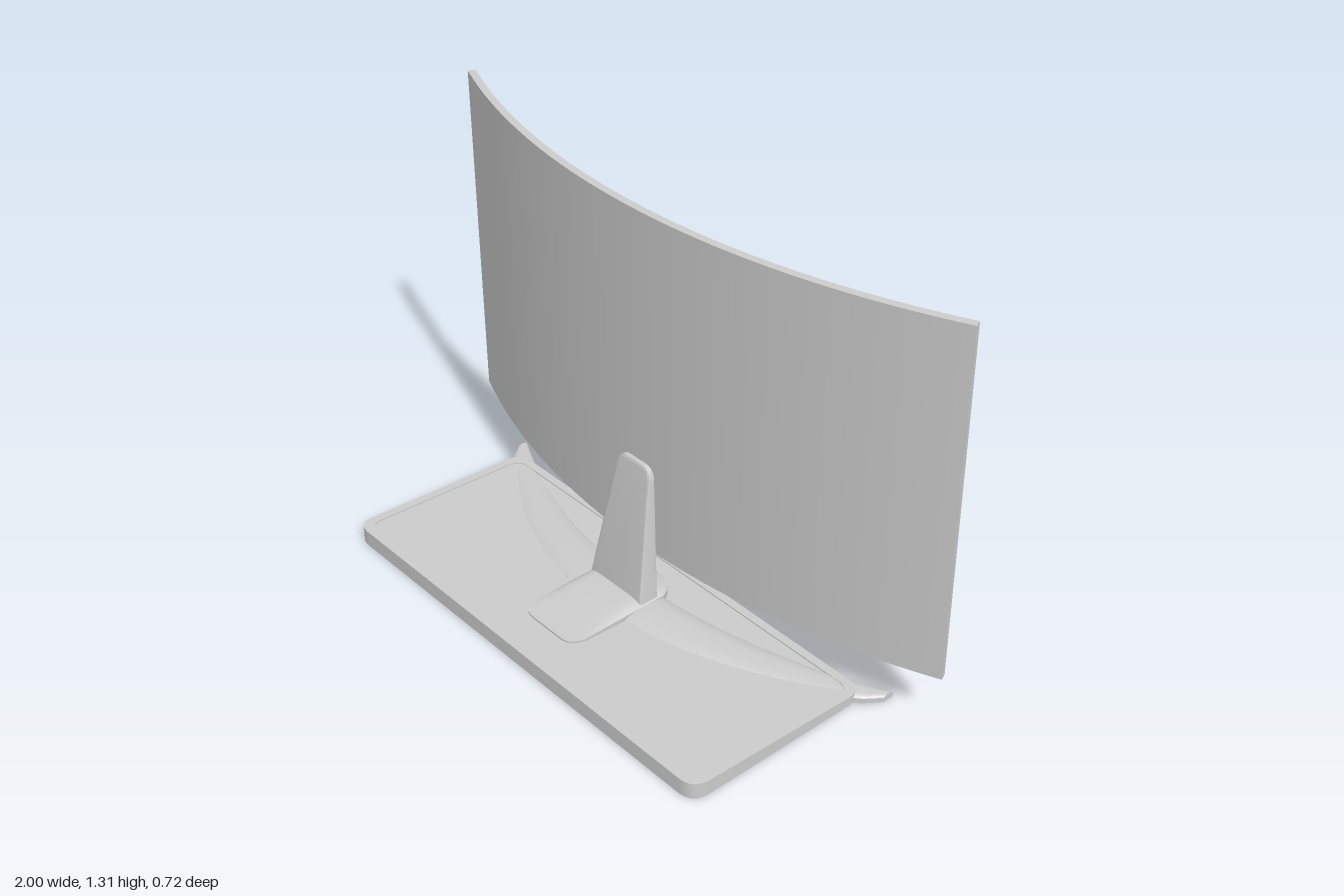
import * as THREE from 'three';
import { toCreasedNormals } from 'three/addons/utils/BufferGeometryUtils.js';

const grey = new THREE.MeshStandardMaterial({ color: 0xcccccc });
const dark = new THREE.MeshStandardMaterial({ color: 0x2e2e2e });

function addMesh(parent, name, geometry, material = grey) {
  const mesh = new THREE.Mesh(geometry, material);
  mesh.name = name;
  parent.add(mesh);
  return mesh;
}

// Moves every vertex by a rule that edits the vector in place
function reshape(geometry, rule) {
  const pos = geometry.attributes.position;
  const p = new THREE.Vector3();
  for (let i = 0; i < pos.count; i++) {
    rule(p.fromBufferAttribute(pos, i));
    pos.setXYZ(i, p.x, p.y, p.z);
  }
  geometry.computeVertexNormals();
  return geometry;
}

// Box bent around a vertical axis; the outer face at x = 0 lies at z = 0
function bentBox(radius, width, height, zBack, zFront) {
  const geometry = new THREE.BoxGeometry(width, height, zFront - zBack, 48, 1, 1);
  return reshape(geometry, (p) => {
    const r = radius + p.z + (zBack + zFront) / 2;
    const a = p.x / radius;
    p.x = r * Math.sin(a);
    p.z = r * Math.cos(a) - radius;
  });
}

// Low domed slab between a front and a back outline, with a height rule
function slab(half, front, back, height, y0) {
  const geometry = new THREE.BoxGeometry(2, 1, 2, 48, 1, 16);
  return reshape(geometry, (p) => {
    const x = p.x * half;
    const v = p.z;
    const z = THREE.MathUtils.lerp(back(x), front(x), (v + 1) / 2);
    p.set(x, p.y < 0 ? y0 : height(x, z, v), z);
  });
}

function roundedRect(path, w, d, r) {
  const x = w / 2, y = d / 2;
  path.moveTo(-x + r, -y);
  path.lineTo(x - r, -y).quadraticCurveTo(x, -y, x, -y + r);
  path.lineTo(x, y - r).quadraticCurveTo(x, y, x - r, y);
  path.lineTo(-x + r, y).quadraticCurveTo(-x, y, -x, y - r);
  path.lineTo(-x, -y + r).quadraticCurveTo(-x, -y, -x + r, -y);
  return path;
}

// Flat plate whose thickness falls off towards the back
function slopedPlate(shape, height, y0) {
  const geometry = new THREE.ExtrudeGeometry(shape, { depth: height, bevelEnabled: false, curveSegments: 8 });
  geometry.rotateX(-Math.PI / 2);
  reshape(geometry, (p) => {
    p.z += 0.035;
    p.y = p.y < height / 2 ? y0 : height - 0.036 * (0.36 - p.z);
  });
  return toCreasedNormals(geometry, 0.6);
}

export function createModel() {
  const model = new THREE.Group();
  model.name = 'curvedMonitor';

  // Curved panel, leaning slightly; the screen is on its hollow side
  const panel = new THREE.Group();
  panel.name = 'panel';
  panel.position.set(0, 0.741, -0.113);
  panel.rotation.x = 0.031;
  model.add(panel);
  const R = 2.486, width = 2 * R * Math.asin(1 / R), height = 1.123, t = 0.024;
  addMesh(panel, 'panelShell', bentBox(R, width, height, -t, 0));
  addMesh(panel, 'screen', bentBox(R, width - 0.028, height - 0.028, -t - 0.0015, -t + 0.002), dark);

  // Base plate: raised rim around a slightly sunken tray
  const base = new THREE.Group();
  base.name = 'base';
  model.add(base);
  const rim = roundedRect(new THREE.Shape(), 1.546, 0.65, 0.06);
  rim.holes.push(roundedRect(new THREE.Path(), 1.49, 0.594, 0.045));
  addMesh(base, 'baseRim', slopedPlate(rim, 0.053, 0.001));
  const tray = roundedRect(new THREE.Shape(), 1.5, 0.604, 0.048);
  addMesh(base, 'baseTray', slopedPlate(tray, 0.049, 0.003));

  // Swept foot whose tips reach past the rear corners of the plate
  addMesh(base, 'sweptFoot', slab(
    0.825,
    (x) => 0.03 - 0.48 * Math.abs(x) ** 2.1 - 0.03 * Math.abs(x / 0.825) ** 30,
    (x) => -0.13 - 0.335 * x * x,
    (x, z, v) => (0.056 - 0.034 * Math.abs(x / 0.825) ** 1.5) * (1 - 0.3 * Math.abs(v) ** 3),
    0,
  ));

  // Central hub with a tongue that runs forward over the plate
  addMesh(base, 'hub', slab(
    0.117,
    (x) => 0.228 - 0.05 * Math.abs(x / 0.117) ** 8,
    (x) => -0.188 + 0.06 * Math.abs(x / 0.117) ** 4,
    (x, z, v) => {
      const rise = THREE.MathUtils.smoothstep(-z, -0.23, 0.05);
      const edge = Math.max(Math.abs(x / 0.117) ** 8, v < 0 ? v ** 8 : 0);
      return 0.05 + 0.02 * rise - 0.016 * edge * rise;
    },
    0.001,
  ));

  // Tapered neck with rounded top, leaning back to the panel
  const outline = new THREE.Shape();
  outline.moveTo(-0.105, 0.05);
  outline.lineTo(0.105, 0.05);
  outline.lineTo(0.063, 0.44);
  outline.quadraticCurveTo(0.06, 0.48, 0.034, 0.48);
  outline.lineTo(-0.034, 0.48);
  outline.quadraticCurveTo(-0.06, 0.48, -0.063, 0.44);
  const neck = new THREE.ExtrudeGeometry(outline, {
    depth: 0.8, bevelThickness: 0.1, bevelSize: 0.009, bevelSegments: 3, curveSegments: 8,
  });
  reshape(neck, (p) => {
    const k = (p.y - 0.05) / 0.44;
    const front = THREE.MathUtils.lerp(-0.034, -0.107, k);
    const back = THREE.MathUtils.lerp(-0.107, -0.126, k);
    p.z = THREE.MathUtils.lerp(back, front, p.z + 0.1);
  });
  addMesh(model, 'neck', toCreasedNormals(neck, 0.7));

  return model;
}
